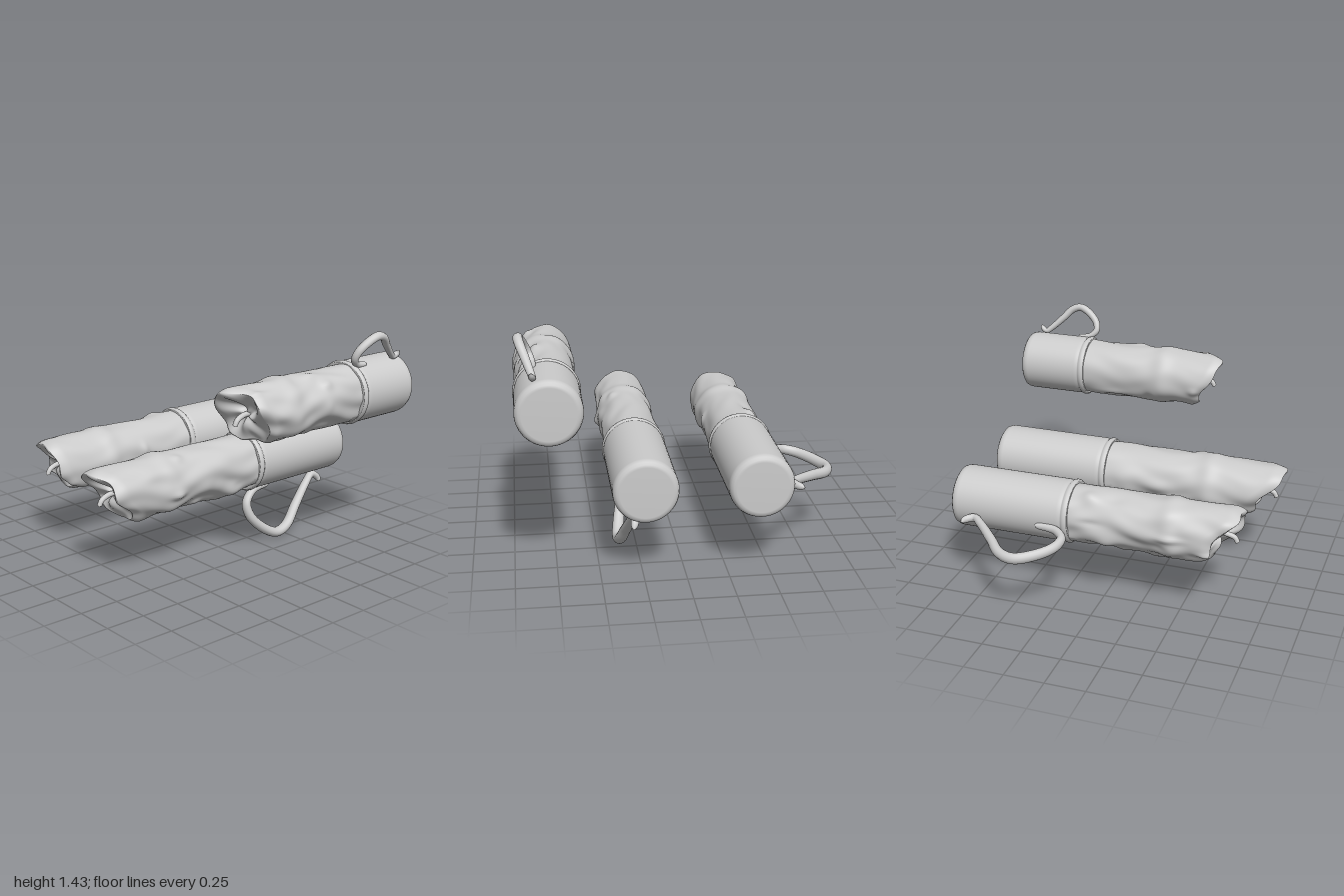
import * as THREE from 'three';
import { ParametricGeometry } from 'three/addons/geometries/ParametricGeometry.js';

const material = new THREE.MeshStandardMaterial({ color: 0xcccccc });

function part(name, geometry) {
  const mesh = new THREE.Mesh(geometry, material);
  mesh.name = name;
  return mesh;
}

function seeded(seed) {
  return () => {
    seed = (seed * 16807) % 2147483647;
    return seed / 2147483647;
  };
}

// Round holder lying along z: closed at the back, beaded mouth at z = 0
function holderGeometry(length) {
  const b = -length;
  const profile = [
    [0, b], [0.155, b], [0.172, b + 0.004], [0.186, b + 0.014], [0.193, b + 0.032], [0.195, b + 0.05],
    [0.195, -0.07], [0.194, -0.05], [0.19, -0.044], [0.192, -0.038], [0.199, -0.03], [0.201, -0.018],
    [0.198, -0.006], [0.192, 0], [0.19, 0], [0.14, 0],
  ].map(([r, z]) => new THREE.Vector2(r, z));
  return new THREE.LatheGeometry(profile, 64).rotateX(Math.PI / 2);
}

// Tube that swells in the middle and closes at both ends
function taperedTube(curve, radius, thin, swell, steps = 90, sides = 14) {
  const geometry = new THREE.TubeGeometry(curve, steps, radius, sides);
  const pos = geometry.attributes.position;
  const v = new THREE.Vector3();
  for (let i = 0; i <= steps; i++) {
    const t = i / steps;
    const centre = curve.getPointAt(t);
    const end = Math.min(1, Math.min(t, 1 - t) / 0.04);
    const k = (thin + swell * Math.sin(Math.PI * t)) * Math.sqrt(1 - (1 - end) ** 2);
    for (let j = 0; j <= sides; j++) {
      const n = i * (sides + 1) + j;
      v.fromBufferAttribute(pos, n).sub(centre).multiplyScalar(k).add(centre);
      pos.setXYZ(n, v.x, v.y, v.z);
    }
  }
  return geometry;
}

// Bent wire handle with a hooked tip, given as [distance from axis, z]
function handleGeometry(scale) {
  const path = [
    [0.28, -0.67], [0.245, -0.655], [0.215, -0.605], [0.26, -0.545], [0.385, -0.42], [0.495, -0.315],
    [0.523, -0.22], [0.47, -0.11], [0.37, -0.015], [0.28, 0], [0.215, -0.06], [0.197, -0.13], [0.195, -0.21],
  ].map(([r, z]) => new THREE.Vector3(0.197 + (r - 0.197) * scale, 0, z * scale));
  const curve = new THREE.CatmullRomCurve3(path);
  return taperedTube(curve, 0.03 * Math.sqrt(scale), 0.68, 0.4).scale(1, 1.12, 1);
}

// Melted candle: lumpy side, slanted ragged rim and a sunken end
function waxGeometry({ length, slant, tilt, lumpSide, seed }) {
  const random = seeded(seed);
  const phase = Array.from({ length: 6 }, () => random() * Math.PI * 2);
  const lumps = Array.from({ length: 26 }, () => ({
    angle: lumpSide + (random() - 0.5) * 4.6,
    z: length * (0.08 + 0.85 * random()),
    wide: 0.12 + 0.2 * random(),
    long: 0.03 + 0.06 * random(),
    high: -0.012 + 0.034 * random(),
  }));
  const rim = (a) => length - slant * (1 - Math.cos(a - tilt)) / 2
    + 0.018 * Math.cos(3 * a + phase[0]) + 0.012 * Math.sin(5 * a + phase[1]) - 0.012;
  const radius = (a, z) => {
    const rough = 0.25 + 0.75 * (1 + Math.cos(a - lumpSide)) / 2;
    let r = 0.179 + 0.012 * Math.exp(-(((z - 0.58 * length) / 0.06) ** 2));
    r += rough * (0.007 * Math.sin(3 * a + 9 * z + phase[2]) + 0.005 * Math.sin(5 * a - 17 * z + phase[3])
      + 0.004 * Math.sin(9 * a + 2 * Math.sin(11 * z + phase[4])));
    for (const l of lumps) {
      const d = Math.atan2(Math.sin(a - l.angle), Math.cos(a - l.angle));
      r += l.high * Math.exp(-((d / l.wide) ** 2) - ((z - l.z) / l.long) ** 2);
    }
    return z < 0.05 ? Math.min(r, 0.187) : Math.min(r, 0.215);
  };
  const floor = length - slant / 2 - 0.06;
  const surface = (u, v, target) => {
    const a = -v * Math.PI * 2;
    const top = rim(a);
    if (u <= 0.75) {
      const s = u / 0.75;
      const z = -0.02 + (top + 0.02) * s;
      const r = radius(a, z) - 0.02 * Math.max(0, (s - 0.93) / 0.07) ** 2;
      target.set(r * Math.cos(a), r * Math.sin(a), z);
    } else {
      const w = Math.min(1, (u - 0.75) / 0.25);
      const r = (radius(a, top) - 0.02) * (1 - w);
      const fall = THREE.MathUtils.smoothstep(w, 0.02, 0.75);
      const fold = 0.022 * Math.sin(Math.PI * w) * Math.sin(4 * a + phase[5] + 2 * w);
      target.set(r * Math.cos(a), r * Math.sin(a), top + (floor - top) * fall + fold);
    }
  };
  return new ParametricGeometry(surface, 120, 96);
}

// Short drooping wick
function wickGeometry(z) {
  const curve = new THREE.CatmullRomCurve3([
    new THREE.Vector3(0, 0.01, z - 0.03), new THREE.Vector3(0, 0.005, z + 0.04),
    new THREE.Vector3(0.005, -0.015, z + 0.09), new THREE.Vector3(0.005, -0.05, z + 0.11),
  ]);
  return taperedTube(curve, 0.017, 0.85, 0.15, 24, 10);
}

export function createModel() {
  const model = new THREE.Group();
  model.name = 'candles';
  const candles = [
    { name: 'rightCandle', at: [-0.443, 0.54, -0.195], holder: 0.78, handle: 1, turn: 191.6,
      wax: { length: 1.08, slant: 0.2, tilt: 1.15, lumpSide: -2.0, seed: 11 } },
    { name: 'middleCandle', at: [0.235, 0.54, -0.195], holder: 0.78, handle: 1, turn: -76.3,
      wax: { length: 1.185, slant: 0.23, tilt: 1.6, lumpSide: -1.2, seed: 47 } },
    { name: 'leftCandle', at: [0.775, 1.04, -0.54], holder: 0.46, handle: 0.61, turn: 66.5,
      wax: { length: 0.945, slant: 0.21, tilt: 2.1, lumpSide: -0.6, seed: 83 } },
  ];
  for (const c of candles) {
    const group = new THREE.Group();
    group.name = c.name;
    group.position.set(...c.at);
    const handle = part('handle', handleGeometry(c.handle));
    handle.rotation.z = THREE.MathUtils.degToRad(c.turn);
    group.add(
      part('holder', holderGeometry(c.holder)),
      part('wax', waxGeometry(c.wax)),
      part('wick', wickGeometry(c.wax.length - c.wax.slant / 2 - 0.06)),
      handle,
    );
    model.add(group);
  }
  return model;
}
